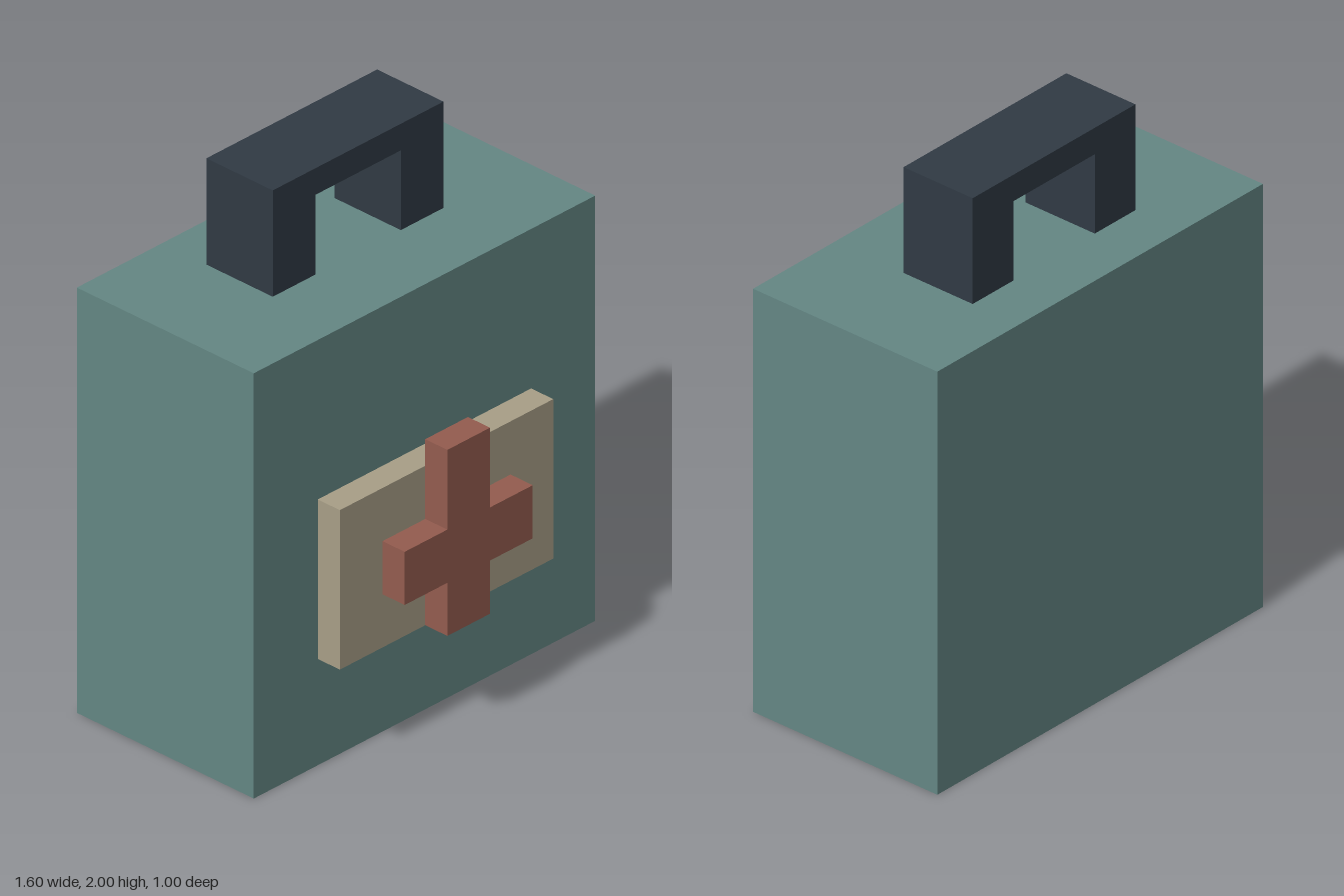
import * as THREE from 'three';

const paint = (color) => new THREE.MeshStandardMaterial({ color, flatShading: true });
const teal = paint(0x648784);
const tan = paint(0xa89f87);
const red = paint(0x945c4f);
const navy = paint(0x303a44);

// Box given by its lower and upper limits on each axis
function box(name, material, [x0, x1], [y0, y1], [z0, z1]) {
  const mesh = new THREE.Mesh(new THREE.BoxGeometry(x1 - x0, y1 - y0, z1 - z0), material);
  mesh.position.set((x0 + x1) / 2, (y0 + y1) / 2, (z0 + z1) / 2);
  mesh.name = name;
  return mesh;
}

// Flat outline, mirrored from its +x half, extruded from z0 to z1
function slab(name, material, half, z0, z1) {
  const mirrored = half.map(([x, y]) => [-x, y]).reverse();
  const shape = new THREE.Shape([...half, ...mirrored].map(([x, y]) => new THREE.Vector2(x, y)));
  const geometry = new THREE.ExtrudeGeometry(shape, { depth: z1 - z0, bevelEnabled: false });
  const mesh = new THREE.Mesh(geometry, material);
  mesh.position.z = z0;
  mesh.name = name;
  return mesh;
}

export function createModel() {
  const kit = new THREE.Group();
  kit.name = 'firstAidCase';

  // Case body and raised front panel
  kit.add(box('caseBody', teal, [-0.8, 0.8], [0, 1.6], [-0.5, 0.3]));
  kit.add(box('frontPanel', tan, [-0.5, 0.5], [0.4, 1], [0.3, 0.4]));

  // Cross, with a longer upper arm that overtops the panel
  kit.add(slab('cross', red, [
    [0.1, 0.4], [0.1, 0.6], [0.3, 0.6], [0.3, 0.8], [0.1, 0.8], [0.1, 1.1],
  ], 0.4, 0.5));

  // Arched carrying handle, set towards the back of the top
  kit.add(slab('handle', navy, [
    [0.2, 1.9], [0.2, 1.6], [0.4, 1.6], [0.4, 2],
  ], -0.3, 0));

  return kit;
}
